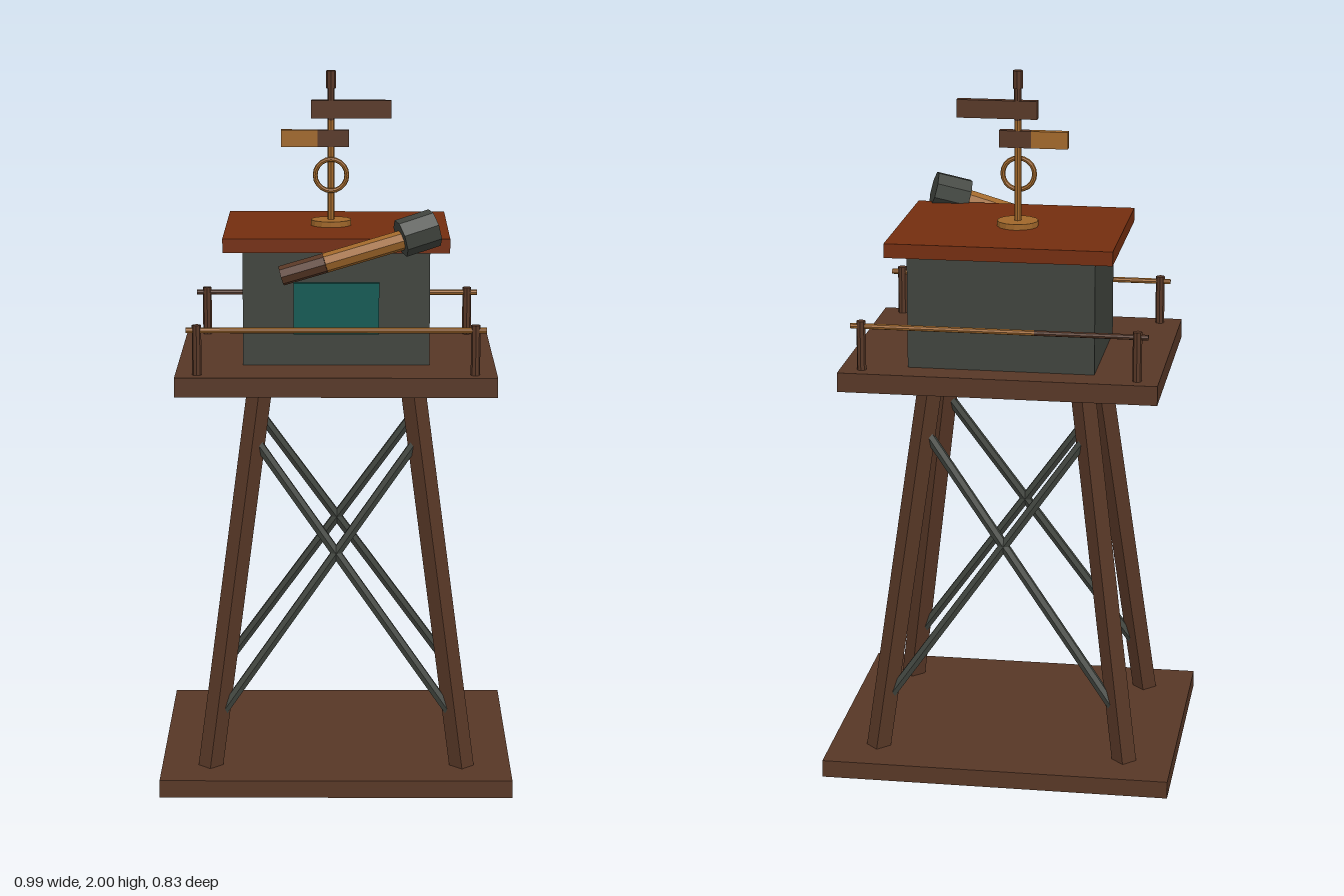
import * as THREE from 'three';

const mat = (name, color) => {
  const m = new THREE.MeshStandardMaterial({ color, flatShading: true });
  m.name = name;
  return m;
};

export function createModel() {
  const wood = mat('brown wood', 0x573726);
  const rust = mat('rust red', 0x732d0e);
  const iron = mat('grey iron', 0x3f433d);
  const teal = mat('teal glass', 0x0f5852);
  const brass = mat('brass', 0xa0672a);
  const model = new THREE.Group();
  model.name = 'watchtower';

  const add = (name, geo, material, x = 0, y = 0, z = 0) => {
    const m = new THREE.Mesh(geo, material);
    m.name = name;
    m.position.set(x, y, z);
    model.add(m);
    return m;
  };
  // box given by its min and max on each axis
  const box = (name, material, [x0, x1], [y0, y1], [z0, z1]) =>
    add(name, new THREE.BoxGeometry(x1 - x0, y1 - y0, z1 - z0), material,
      (x0 + x1) / 2, (y0 + y1) / 2, (z0 + z1) / 2);
  // round or faceted bar between two points
  const bar = (name, material, a, b, r, sides) => {
    const p = new THREE.Vector3(...a), q = new THREE.Vector3(...b);
    const d = q.clone().sub(p);
    const m = add(name, new THREE.CylinderGeometry(r, r, d.length(), sides), material);
    m.position.copy(p).add(q).multiplyScalar(0.5);
    m.quaternion.setFromUnitVectors(new THREE.Vector3(0, 1, 0), d.normalize());
    return m;
  };

  // base, deck, cabin and roof
  box('base', wood, [-0.497, 0.497], [0, 0.05], [-0.414, 0.414]);
  box('deck', wood, [-0.446, 0.446], [1.14, 1.195], [-0.352, 0.352]);
  box('cabin', iron, [-0.262, 0.262], [1.195, 1.52], [-0.267, 0.167]);
  box('roof', rust, [-0.316, 0.316], [1.52, 1.56], [-0.32, 0.212]);
  box('window', teal, [-0.12, 0.12], [1.285, 1.43], [0.167, 0.181]);

  // leaning legs, with crossed braces front and back
  const legAt = (sx, y, sz) => [sx * (0.365 - 0.132 * y), y, sz * (0.283 - 0.105 * y)];
  for (const sz of [1, -1]) {
    for (const sx of [1, -1]) {
      bar('leg', wood, legAt(sx, 0.04, sz), legAt(sx, 1.15, sz), 0.035, 4);
      bar('brace', iron, legAt(sx, 0.18, sz), legAt(-sx, 0.99, sz), 0.015, 6);
      bar('railPost', wood, [sx * 0.385, 1.19, sz * 0.307], [sx * 0.385, 1.335, sz * 0.307], 0.013, 8);
    }
  }

  // handrails
  bar('frontRail', brass, [-0.415, 1.32, 0.307], [0.415, 1.32, 0.307], 0.008, 8);
  bar('backRail', brass, [-0.1, 1.32, -0.307], [0.415, 1.32, -0.307], 0.008, 8);
  bar('backRailWorn', wood, [-0.415, 1.32, -0.307], [-0.1, 1.32, -0.307], 0.008, 8);

  // spyglass
  bar('spyglassGrip', wood, [-0.152, 1.464, 0.257], [-0.03, 1.5, 0.257], 0.028, 8);
  bar('spyglassTube', brass, [-0.03, 1.5, 0.257], [0.2, 1.568, 0.25], 0.028, 8);
  bar('spyglassHood', iron, [0.178, 1.567, 0.25], [0.272, 1.594, 0.223], 0.053, 8);

  // mast with ring and direction boards
  const mx = -0.016, mz = -0.054;
  bar('mastFoot', brass, [mx, 1.558, mz], [mx, 1.576, mz], 0.058, 14);
  bar('mast', brass, [mx, 1.57, mz], [mx, 1.86, mz], 0.01, 8);
  bar('mastTop', wood, [mx, 1.86, mz], [mx, 1.96, mz], 0.01, 8);
  bar('mastCap', wood, [mx, 1.95, mz], [mx, 2, mz], 0.014, 8);
  add('ring', new THREE.TorusGeometry(0.045, 0.007, 8, 20), brass, mx, 1.705, -0.037);
  box('upperBoard', wood, [-0.072, 0.155], [1.865, 1.916], [-0.066, -0.043]);
  box('lowerBoard', brass, [-0.158, -0.055], [1.784, 1.832], [-0.066, -0.043]);
  box('lowerBoardTail', wood, [-0.055, 0.035], [1.784, 1.832], [-0.066, -0.043]);

  return model;
}
